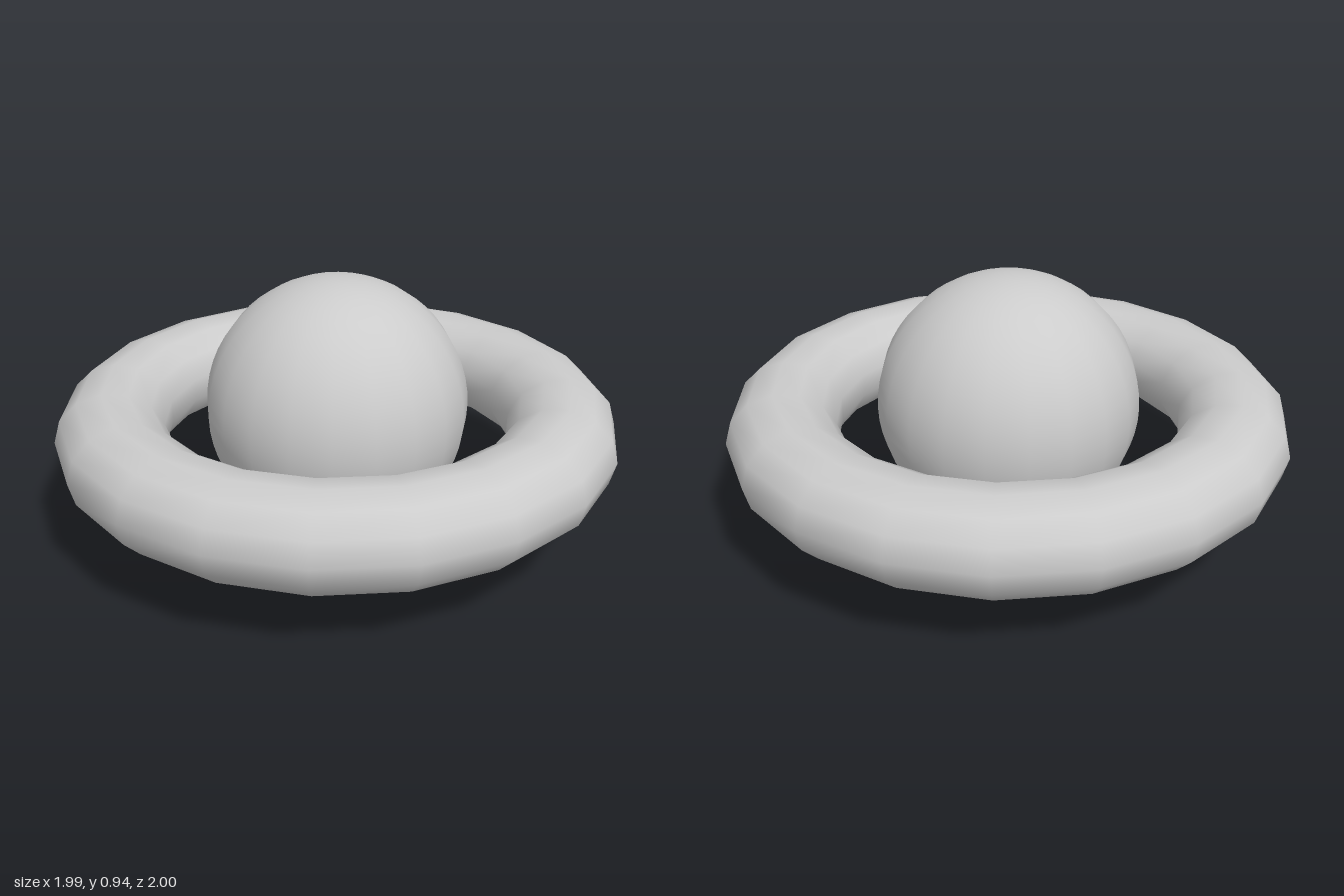
import * as THREE from 'three';

export function createModel() {
  const group = new THREE.Group();
  const material = new THREE.MeshStandardMaterial({ color: 0xcccccc });

  function add(name, geometry, y) {
    const mesh = new THREE.Mesh(geometry, material);
    mesh.name = name;
    mesh.position.set(-0.007, y, 0);
    group.add(mesh);
  }

  // Central ball
  add('ball', new THREE.SphereGeometry(0.468, 20, 28), 0.468);

  // Surrounding ring: laid flat, its tube slightly squashed in height
  const ring = new THREE.TorusGeometry(0.807, 0.196, 13, 19);
  ring.scale(1, 1, 0.881);
  ring.rotateX(-Math.PI / 2);
  add('ring', ring, 0.387);

  return group;
}
